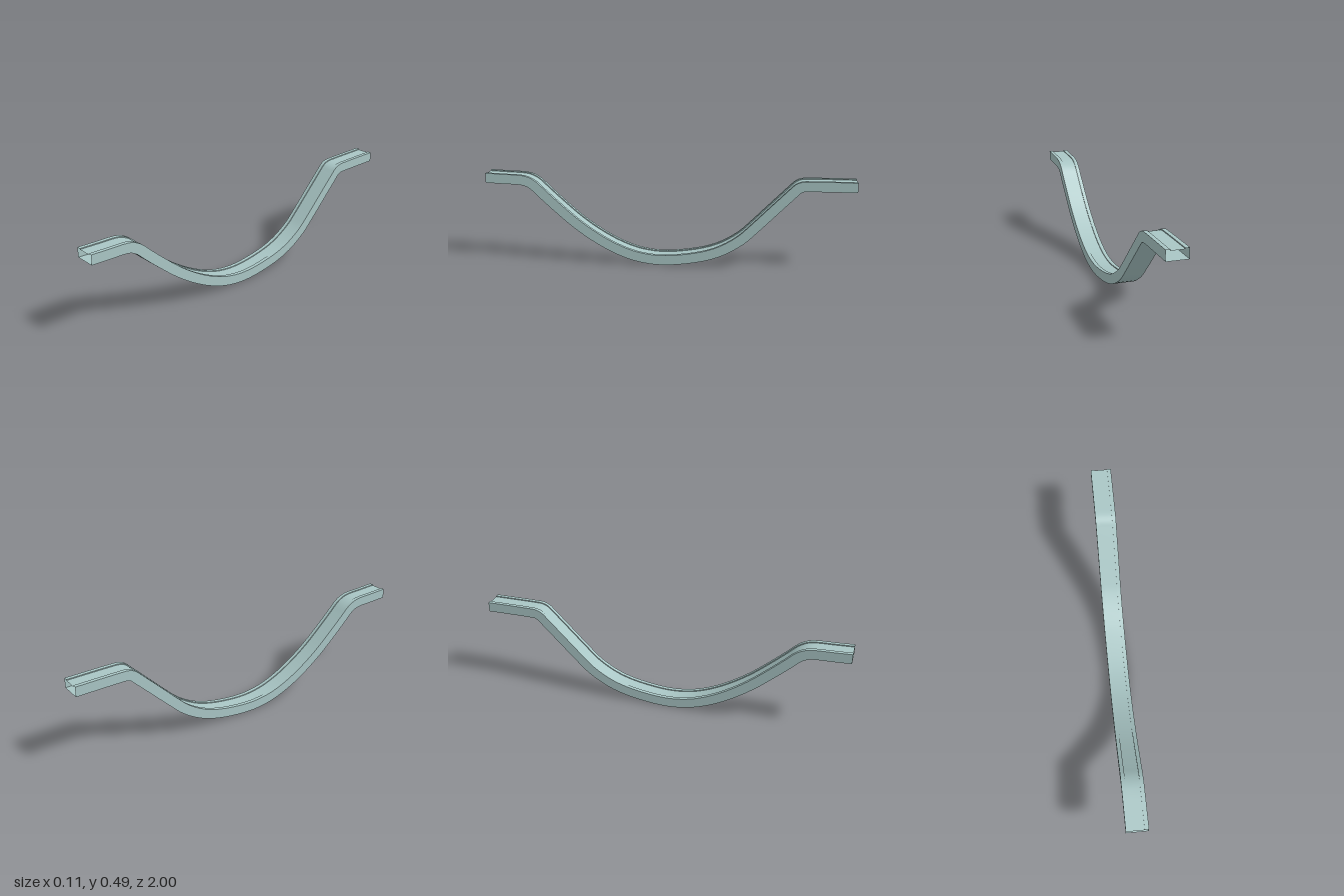
import * as THREE from 'three';

// Centre line of the channel as [z, y], front to back
const PATH = [
  [1, 0.464], [0.9, 0.46], [0.8, 0.456], [0.765, 0.447], [0.73, 0.426], [0.69, 0.388],
  [0.6, 0.306], [0.5, 0.221], [0.4, 0.151], [0.3, 0.095], [0.2, 0.055], [0.12, 0.037],
  [0.04, 0.03], [-0.06, 0.036], [-0.2, 0.061], [-0.3, 0.097], [-0.4, 0.159], [-0.46, 0.215],
  [-0.56, 0.316], [-0.65, 0.407], [-0.675, 0.432], [-0.695, 0.451], [-0.72, 0.461],
  [-0.76, 0.463], [-0.88, 0.464], [-1, 0.464],
];

// Hollow cross-section as [x, height above the centre line], walked clockwise from the front
const W = 0.056, H = 0.0265, G = 0.035, D = 0.005;
const SECTION = [
  [-W, -H], [-W, H], [-G, H], [-G, H - D], [G, H - D], [G, H], [W, H], [W, -H], [-W, -H],
];
const NAMES = ['rightWall', 'rightRim', 'grooveRightEdge', 'grooveFloor',
  'grooveLeftEdge', 'leftRim', 'leftWall', 'underside'];

export function createModel() {
  const model = new THREE.Group();
  model.name = 'curvedChannel';
  const steel = new THREE.MeshStandardMaterial({ color: 0xa9c6c5, side: THREE.DoubleSide });
  steel.name = 'paleTealSteel';

  const curve = new THREE.CatmullRomCurve3(
    PATH.map(([z, y]) => new THREE.Vector3(0, y, z)), false, 'centripetal');
  const steps = (PATH.length - 1) * 3;

  // Stations along the path; the end cuts stay vertical
  const stations = [];
  for (let i = 0; i <= steps; i++) {
    const p = curve.getPoint(i / steps);
    const t = curve.getTangent(i / steps);
    const up = i === 0 || i === steps
      ? new THREE.Vector3(0, 1, 0) : new THREE.Vector3(0, -t.z, t.y);
    stations.push({ p, up });
  }

  // One smooth strip per side of the section, with sharp edges between strips
  NAMES.forEach((name, k) => {
    const pos = [], index = [];
    stations.forEach(({ p, up }, i) => {
      for (const [x, h] of [SECTION[k], SECTION[k + 1]]) {
        pos.push(x, p.y + up.y * h, p.z + up.z * h);
      }
      if (i < steps) {
        const a = 2 * i;
        index.push(a, a + 1, a + 2, a + 1, a + 3, a + 2);
      }
    });
    const geo = new THREE.BufferGeometry();
    geo.setAttribute('position', new THREE.Float32BufferAttribute(pos, 3));
    geo.setIndex(index);
    geo.computeVertexNormals();
    const mesh = new THREE.Mesh(geo, steel);
    mesh.name = name;
    model.add(mesh);
  });
  return model;
}
